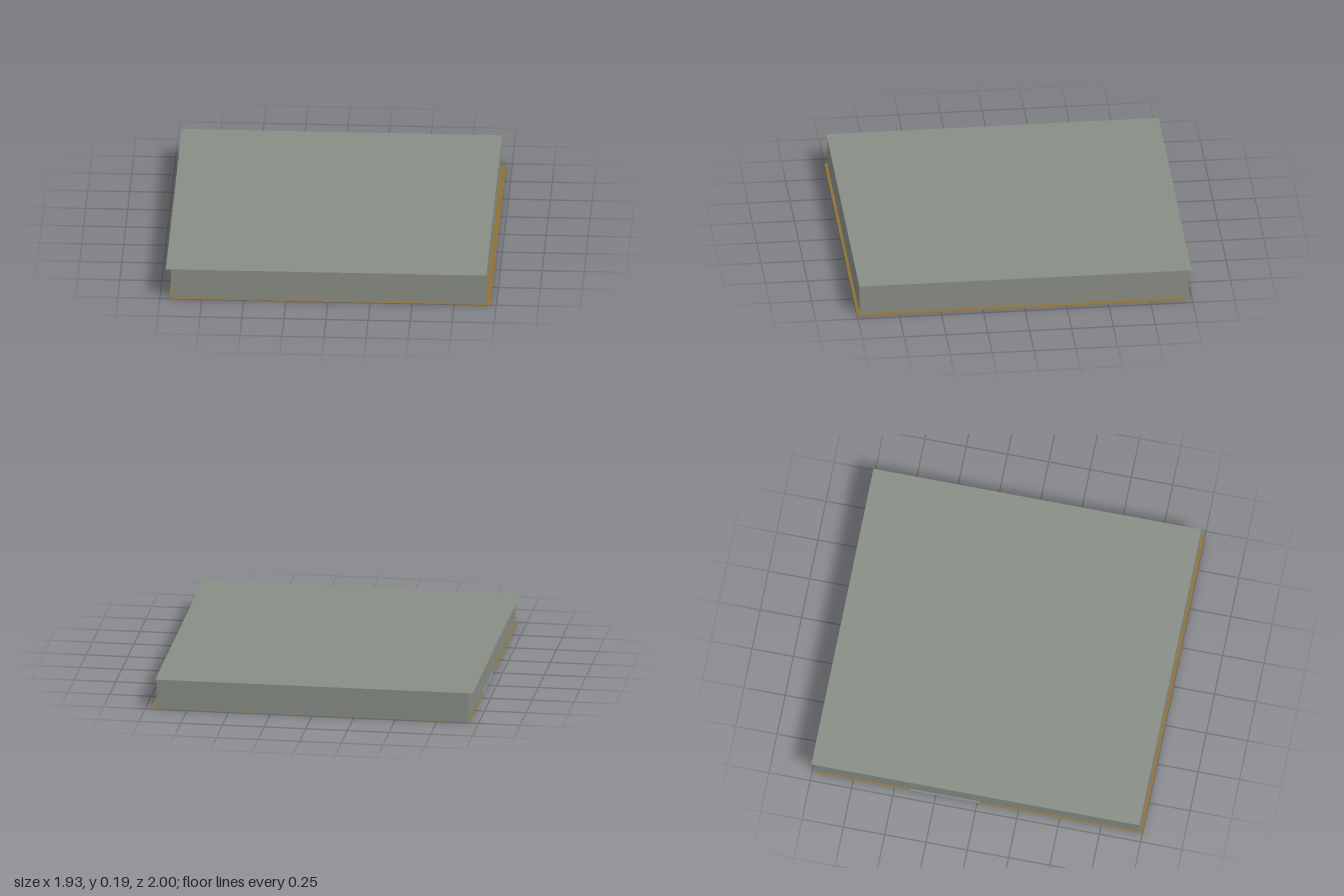
import * as THREE from 'three';

export function createModel() {
  const model = new THREE.Group();
  model.name = 'flatRoom';

  const material = (name, color) =>
    new THREE.MeshStandardMaterial({ name, color, side: THREE.DoubleSide });
  const wallGrey = material('wallGrey', 0x888d85);
  const floorGrey = material('floorGrey', 0x80878a);
  const floorBrown = material('floorBrown', 0x8c7138);

  const height = 0.185;

  // Thin horizontal sheet from an outline of [x, z] points
  function sheet(name, points, y, mat) {
    const shape = new THREE.Shape(points.map(([x, z]) => new THREE.Vector2(x, -z)));
    const mesh = new THREE.Mesh(new THREE.ShapeGeometry(shape).rotateX(-Math.PI / 2), mat);
    mesh.position.y = y;
    mesh.name = name;
    model.add(mesh);
  }

  // Ceiling, shifted slightly to the right and back
  sheet('ceiling', [[-0.965, -1], [-0.965, 0.985], [0.94, 0.985], [0.94, -1]], height, wallGrey);

  // Grey floor: square centre with a corridor to the right side
  const inlay = [
    [-0.945, -0.41], [-0.517, -0.41], [-0.517, -0.54], [0.517, -0.54],
    [0.517, 0.545], [-0.517, 0.545], [-0.517, 0.015], [-0.945, 0.015],
  ];
  sheet('greyFloor', inlay, 0, floorGrey);

  // Brown floor wraps around the grey inlay
  sheet('brownFloor', [
    ...inlay, [-0.945, 1], [0.965, 1], [0.965, -0.985], [-0.945, -0.985],
  ], 0, floorBrown);

  // Four walls, set in from the sheet edges
  const t = 0.03, halfX = 0.935, halfZ = 0.982;
  function wall(name, w, d, x, z) {
    const mesh = new THREE.Mesh(new THREE.BoxGeometry(w, height - 0.002, d), wallGrey);
    mesh.position.set(x, height / 2, z);
    mesh.name = name;
    model.add(mesh);
  }
  for (const s of [-1, 1]) {
    wall(s > 0 ? 'leftWall' : 'rightWall', t, halfZ * 2, s * (halfX - t / 2), 0);
    wall(s > 0 ? 'frontWall' : 'backWall', (halfX - t) * 2, t, 0, s * (halfZ - t / 2));
  }

  return model;
}
